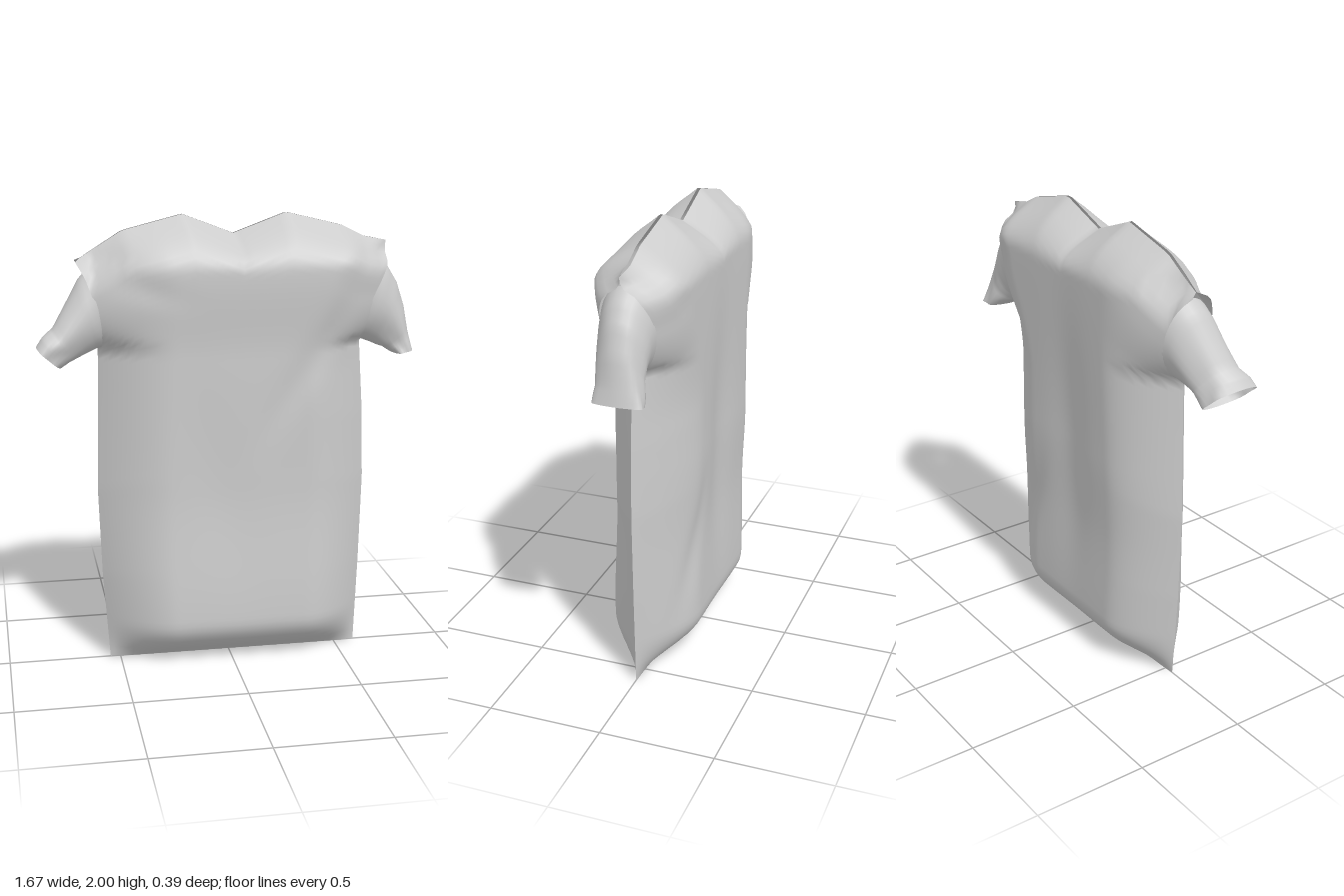
import * as THREE from 'three';

// Piecewise lookup through [input, output] pairs, straight or eased
function lookup(table, t, eased = false) {
  if (t <= table[0][0]) return table[0][1];
  for (let i = 1; i < table.length; i++) {
    const [a, b] = [table[i - 1], table[i]];
    if (t > b[0]) continue;
    const s = (t - a[0]) / (b[0] - a[0]);
    return a[1] + (b[1] - a[1]) * (eased ? s * s * (3 - 2 * s) : s);
  }
  return table[table.length - 1][1];
}

// Grid of points; f(u, v) returns [x, y, z]. Wrapped grids share their seam.
function surface(cols, rows, f, wrap = false, flip = false) {
  const pos = [], index = [], n = wrap ? cols : cols + 1;
  for (let j = 0; j <= rows; j++) for (let i = 0; i < n; i++) pos.push(...f(i / cols, j / rows));
  for (let j = 0; j < rows; j++) for (let i = 0; i < cols; i++) {
    const a = j * n + i, b = j * n + (i + 1) % n, c = b + n, d = a + n;
    if (flip) index.push(a, c, b, a, d, c);
    else index.push(a, b, c, a, c, d);
  }
  const g = new THREE.BufferGeometry();
  g.setAttribute('position', new THREE.Float32BufferAttribute(pos, 3));
  g.setIndex(index);
  g.computeVertexNormals();
  return g;
}

// Torso outline: side seams by height, shoulder and neck line by x
const rightSeam = [[0, -0.545], [0.4, -0.572], [0.8, -0.585], [1.2, -0.575], [1.44, -0.57], [1.65, -0.59], [1.75, -0.625], [1.81, -0.66]];
const leftSeam = [[0, 0.595], [0.4, 0.61], [0.8, 0.62], [1.1, 0.612], [1.44, 0.59], [1.65, 0.625], [1.77, 0.69], [1.87, 0.7]];
const topLine = [[-0.66, 1.81], [-0.46, 1.935], [-0.2, 2], [0.02, 1.915], [0.25, 2], [0.5, 1.94], [0.6, 1.89], [0.7, 1.87]];
const bump = (d, w) => Math.exp(-((d / w) ** 2));

// Each half: depth by height, width of the rounded sides by height, and shallow folds
const front = {
  side: 1,
  depth: [[0.2, 0.194], [0.8, 0.166], [1.4, 0.172], [1.75, 0.194]],
  rightRound: [[0, 0.3], [1.8, 0.33]],
  leftRound: [[0, 0.28], [1.3, 0.28], [1.7, 0.2]],
  folds: (x, y) => -0.014 * bump(x - 0.42 - (y - 1.5) * 0.6, 0.08) * bump(y - 1.4, 0.28)
    - 0.012 * bump(y - 1.72 + (x + 0.45) * 0.25, 0.05) * bump(x + 0.42, 0.16)
    - 0.006 * bump(x + 0.1 + (y - 0.9) * 0.25, 0.14) * bump(y - 0.9, 0.5),
};
const back = {
  side: -1,
  depth: [[0.2, 0.186], [0.6, 0.178], [1, 0.19], [1.75, 0.199]],
  rightRound: [[0, 0.27], [1.8, 0.3]],
  leftRound: [[0, 0.33], [1.2, 0.34], [1.7, 0.2]],
  folds: (x, y) => -0.024 * bump(x - 0.01, 0.13) * bump(y - 0.95, 0.55)
    - 0.014 * bump(x - 0.34 + (y - 0.5) * 0.35, 0.06) * bump(y - 0.5, 0.25),
};

// Puffiness rises from 0 at an edge to 1 at distance w
const puffed = (d, w, power) => 1 - Math.pow(1 - Math.min(1, Math.max(0, d / w)), power);
const armDepth = 0.115;
const armhole = (y) => armDepth * Math.sqrt(Math.max(0, 1 - ((y - 1.63) / 0.19) ** 2));

// Half of the torso; neck line and hem stay open by a narrow slit
function panel({ side, depth, rightRound, leftRound, folds }) {
  return surface(56, 72, (u, v) => {
    const x0 = lookup(rightSeam, v * 1.81), x1 = lookup(leftSeam, v * 1.87);
    const x = x0 + (x1 - x0) * u;
    const top = lookup(topLine, -0.66 + 1.36 * u), y = v * top;
    const rim = armhole(y);
    const puff = puffed(x - x0, lookup(rightRound, y, true), 1.75) * puffed(x1 - x, lookup(leftRound, y, true), 1.75);
    const full = lookup(depth, y, true) + folds(x, y);
    const chest = Math.min(1.78, top - 0.14);
    const body = (rim + (full - rim) * puff) * puffed(y, 0.2, 2) * puffed(top - y, top - chest, 1.7);
    const slit = v === 0 || v === 1 ? 0.007 * Math.min(1, puff * 2) : 0;
    return [x, y, side * Math.max(body, rim * (1 - puff), slit)];
  }, false, side < 0);
}

// Sleeve rings: outer x, y, z; inner x, y, z; half depth
const rightSleeve = [
  [-0.6, 1.79, 0, -0.545, 1.44, 0, 0.12],
  [-0.65, 1.735, 0.015, -0.575, 1.437, 0.01, 0.115],
  [-0.705, 1.64, 0.04, -0.62, 1.42, 0.02, 0.105],
  [-0.765, 1.54, 0.07, -0.665, 1.4, 0.03, 0.095],
  [-0.81, 1.505, 0.09, -0.695, 1.385, 0.03, 0.1],
  [-0.838, 1.465, 0.1, -0.73, 1.362, 0.03, 0.105],
];
const leftSleeve = [
  [0.65, 1.82, 0, 0.565, 1.44, 0, 0.12],
  [0.705, 1.765, 0, 0.6, 1.435, 0, 0.11],
  [0.752, 1.69, -0.005, 0.64, 1.42, -0.005, 0.1],
  [0.79, 1.58, -0.01, 0.67, 1.405, -0.01, 0.095],
  [0.812, 1.47, -0.02, 0.7, 1.395, -0.02, 0.1],
  [0.83, 1.39, -0.02, 0.735, 1.372, -0.02, 0.115],
];

function sleeve(rings, flip) {
  const last = rings.length - 1;
  return surface(28, 4 * last, (u, v) => {
    const r = rings[0].map((_, k) => lookup(rings.map((ring, i) => [i / last, ring[k]]), v));
    const a = u * Math.PI * 2, c = Math.cos(a) / 2;
    const crumple = 1 + 0.1 * v * Math.sin(a * 4 + v * 5);
    return [
      (r[0] + r[3]) / 2 + (r[0] - r[3]) * c,
      (r[1] + r[4]) / 2 + (r[1] - r[4]) * c,
      (r[2] + r[5]) / 2 + (r[2] - r[5]) * c + r[6] * crumple * Math.sin(a),
    ];
  }, true, flip);
}

export function createModel() {
  const group = new THREE.Group();
  group.name = 'shirt';
  const cloth = new THREE.MeshStandardMaterial({ color: 0xcccccc, side: THREE.DoubleSide });
  cloth.name = 'light grey cloth';
  const add = (name, geometry) => {
    const mesh = new THREE.Mesh(geometry, cloth);
    mesh.name = name;
    group.add(mesh);
  };
  add('frontPanel', panel(front));
  add('backPanel', panel(back));
  add('rightSleeve', sleeve(rightSleeve, false));
  add('leftSleeve', sleeve(leftSleeve, true));
  return group;
}
